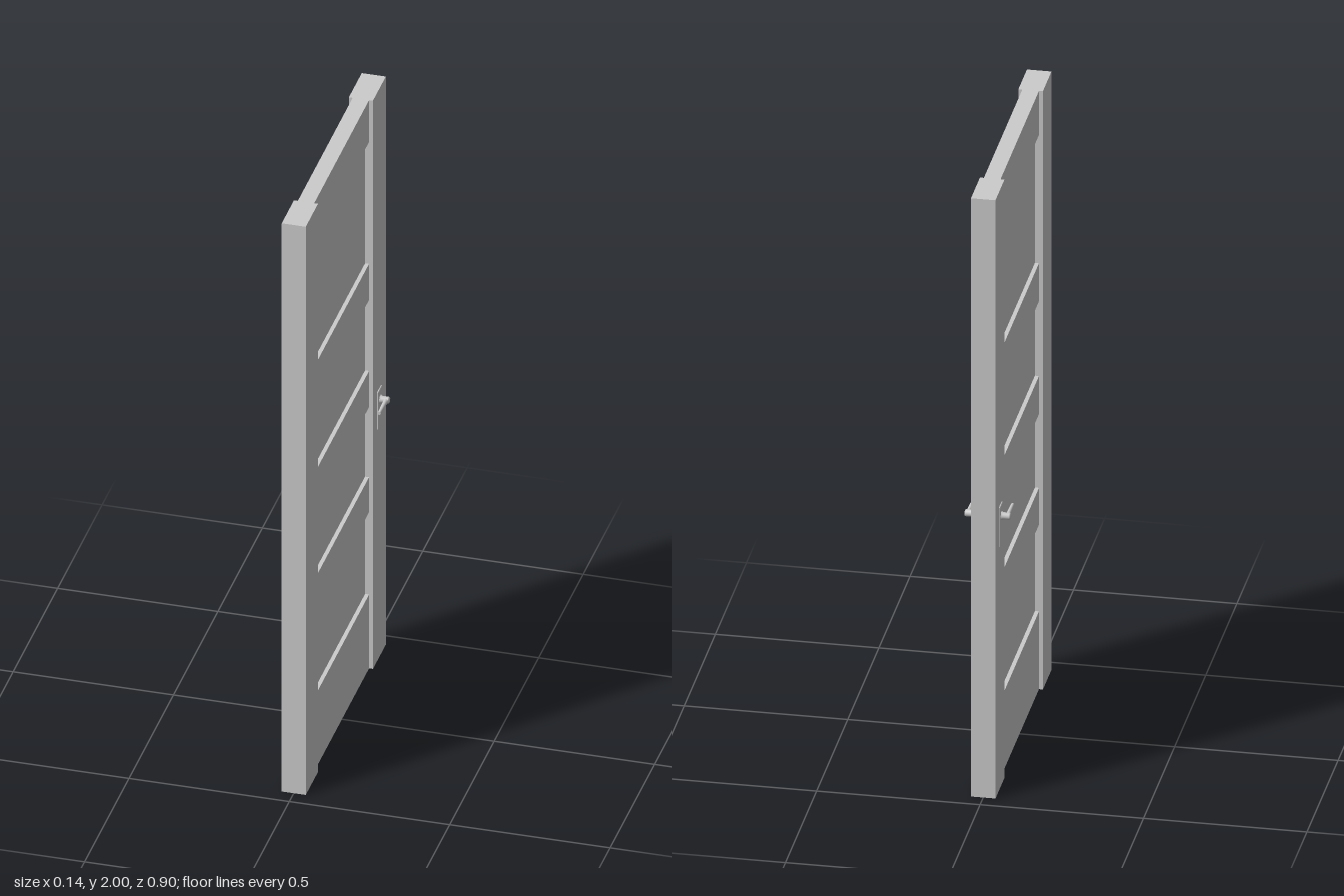
import * as THREE from 'three';

const material = new THREE.MeshStandardMaterial({ color: 0xcccccc });

function add(parent, name, geometry, x = 0, y = 0, z = 0) {
  const mesh = new THREE.Mesh(geometry, material);
  mesh.name = name;
  mesh.position.set(x, y, z);
  parent.add(mesh);
  return mesh;
}

// Box given by its thickness in x and its limits in y and z
function slab(parent, name, thickness, y0, y1, z0, z1) {
  return add(parent, name, new THREE.BoxGeometry(thickness, y1 - y0, z1 - z0), 0, (y0 + y1) / 2, (z0 + z1) / 2);
}

// Handle set on the +x face, or on the -x face when side is -1
function createHandle(side) {
  const handle = new THREE.Group();
  handle.name = side > 0 ? 'leftHandle' : 'rightHandle';
  const y = 0.91, z = -0.374;

  // Thin bevelled backplate
  const w = 0.021, h = 0.063;
  const outline = new THREE.Shape([
    new THREE.Vector2(-w, -h), new THREE.Vector2(w, -h),
    new THREE.Vector2(w, h), new THREE.Vector2(-w, h),
  ]);
  const plate = new THREE.ExtrudeGeometry(outline, {
    depth: 0.003, bevelThickness: 0.0015, bevelSize: 0.002, bevelSegments: 1,
  });
  plate.rotateY(side * Math.PI / 2);
  add(handle, 'backplate', plate, side * 0.037, 0.881, z);

  // Neck flaring at the plate, closed by a rounded cap
  const profile = [[0.014, 0.038], [0.014, 0.043], [0.011, 0.047], [0.011, 0.066], [0.009, 0.07], [0, 0.07]];
  const neck = new THREE.LatheGeometry(profile.map(([r, d]) => new THREE.Vector2(r, d)), 16);
  neck.rotateZ(-side * Math.PI / 2);
  add(handle, 'neck', neck, 0, y, z);

  // Lever tapering towards its tip
  const lever = new THREE.CylinderGeometry(0.0055, 0.0085, 0.081, 12);
  lever.rotateX(Math.PI / 2);
  lever.scale(0.9, 1, 1);
  add(handle, 'lever', lever, side * 0.0605, y, z + 0.0405);
  return handle;
}

export function createModel() {
  const door = new THREE.Group();
  door.name = 'door';
  const back = -0.305, front = 0.312;

  // Thick upright stiles
  slab(door, 'frontStile', 0.075, 0, 2, front, 0.45);
  slab(door, 'backStile', 0.075, 0, 2, -0.45, back);

  // Cross rails
  const rails = [[0, 0.26], [0.55, 0.673], [0.92, 1.047], [1.297, 1.424], [1.853, 2]];
  rails.forEach(([y0, y1]) => slab(door, 'rail', 0.051, y0, y1, back, front));

  // Recessed panels between the rails
  for (let i = 0; i < rails.length - 1; i++) {
    slab(door, 'panel', 0.026, rails[i][1], rails[i + 1][0], back, front);
  }

  // A handle on each face
  [1, -1].forEach((side) => door.add(createHandle(side)));
  return door;
}
